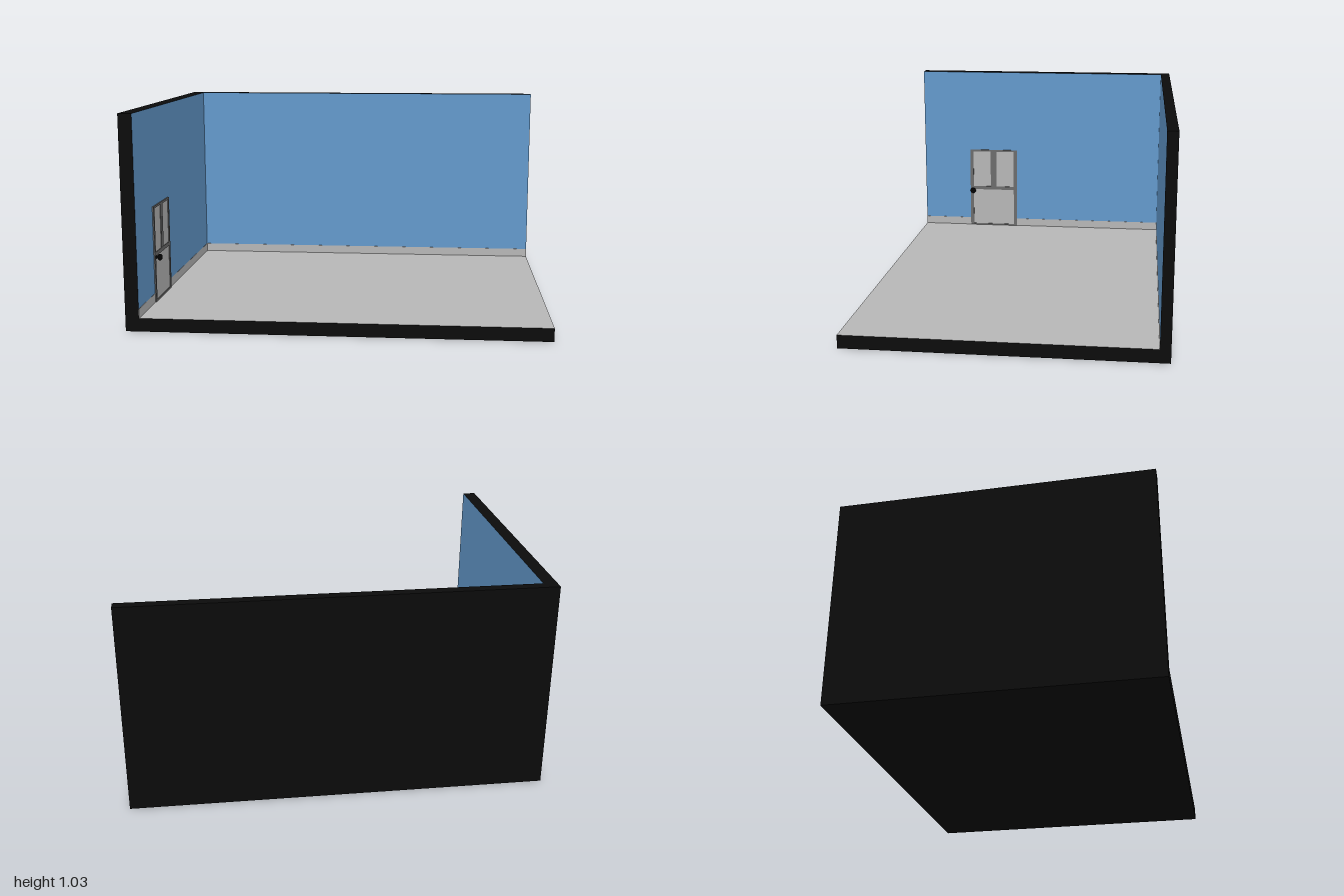
import * as THREE from 'three';

export function createModel() {
  const room = new THREE.Group();
  room.name = 'room';
  const mat = (name, color, side = THREE.FrontSide) => {
    const m = new THREE.MeshStandardMaterial({ color, side });
    m.name = name;
    return m;
  };
  const black = mat('shellBlack', 0x0b0b0b);
  const blue = mat('wallBlue', 0x6399cc);
  const grey = mat('lightGrey', 0xb6b6b6);
  const darkGrey = mat('frameGrey', 0x6b6b6b);
  const knobBlack = mat('knobBlack', 0x020202);

  const add = (name, geometry, material, parent = room) => {
    const m = new THREE.Mesh(geometry, material);
    m.name = name;
    parent.add(m);
    return m;
  };
  // Box given by its minimum and maximum corners
  const box = (name, a, b, material, parent) => {
    const m = add(name, new THREE.BoxGeometry(b[0] - a[0], b[1] - a[1], b[2] - a[2]), material, parent);
    m.position.set((a[0] + b[0]) / 2, (a[1] + b[1]) / 2, (a[2] + b[2]) / 2);
    return m;
  };
  // Black on every side but one (side order: +x -x +y -y +z -z)
  const painted = (side, material) => Array.from({ length: 6 }, (_, i) => (i === side ? material : black));

  const X = -0.935, Z = -0.7, F = 0.064, H = 1.03, D = 0.75;

  // Floor slab and the two walls, painted on their inner faces
  box('floor', [-1, 0, -D], [1, F, D], painted(2, grey));
  box('backWall', [-1, F, -D], [1, H, Z], painted(4, blue));
  box('rightWall', [-1, F, Z], [X, H, D], painted(0, blue));

  // Skirting strips
  box('backSkirting', [X, F, Z], [1, 0.109, Z + 0.0015], grey);
  box('rightSkirting', [X, F, Z], [X + 0.0015, 0.109, D], grey);

  // Door: pale leaf behind a frame with three openings
  const door = new THREE.Group();
  door.name = 'door';
  room.add(door);
  box('doorLeaf', [X, F, 0.18], [X + 0.003, 0.54, 0.46], grey, door);

  const rect = (target, z0, y0, z1, y1) => {
    target.moveTo(-z0, y0);
    target.lineTo(-z1, y0);
    target.lineTo(-z1, y1);
    target.lineTo(-z0, y1);
    target.closePath();
    return target;
  };
  const frame = rect(new THREE.Shape(), 0.466, F, 0.173, 0.547);
  frame.holes.push(
    rect(new THREE.Path(), 0.446, 0.073, 0.193, 0.294),
    rect(new THREE.Path(), 0.446, 0.314, 0.338, 0.536),
    rect(new THREE.Path(), 0.301, 0.314, 0.193, 0.536)
  );
  const doorFrame = add('doorFrame', new THREE.ExtrudeGeometry(frame, { depth: 0.006, bevelEnabled: false }), darkGrey, door);
  doorFrame.rotation.y = Math.PI / 2;
  doorFrame.position.x = X;

  // Doorknob: stem and rounded grip turned around the x axis
  const profile = [[0, 0], [0.009, 0], [0.008, 0.012], [0.014, 0.016], [0.017, 0.022], [0.015, 0.03], [0.009, 0.034], [0, 0.035]]
    .map(([r, h]) => new THREE.Vector2(r, h));
  const knob = add('doorKnob', new THREE.LatheGeometry(profile, 20), knobBlack, door);
  knob.rotation.z = -Math.PI / 2;
  knob.position.set(X + 0.003, 0.29, 0.447);

  return room;
}
